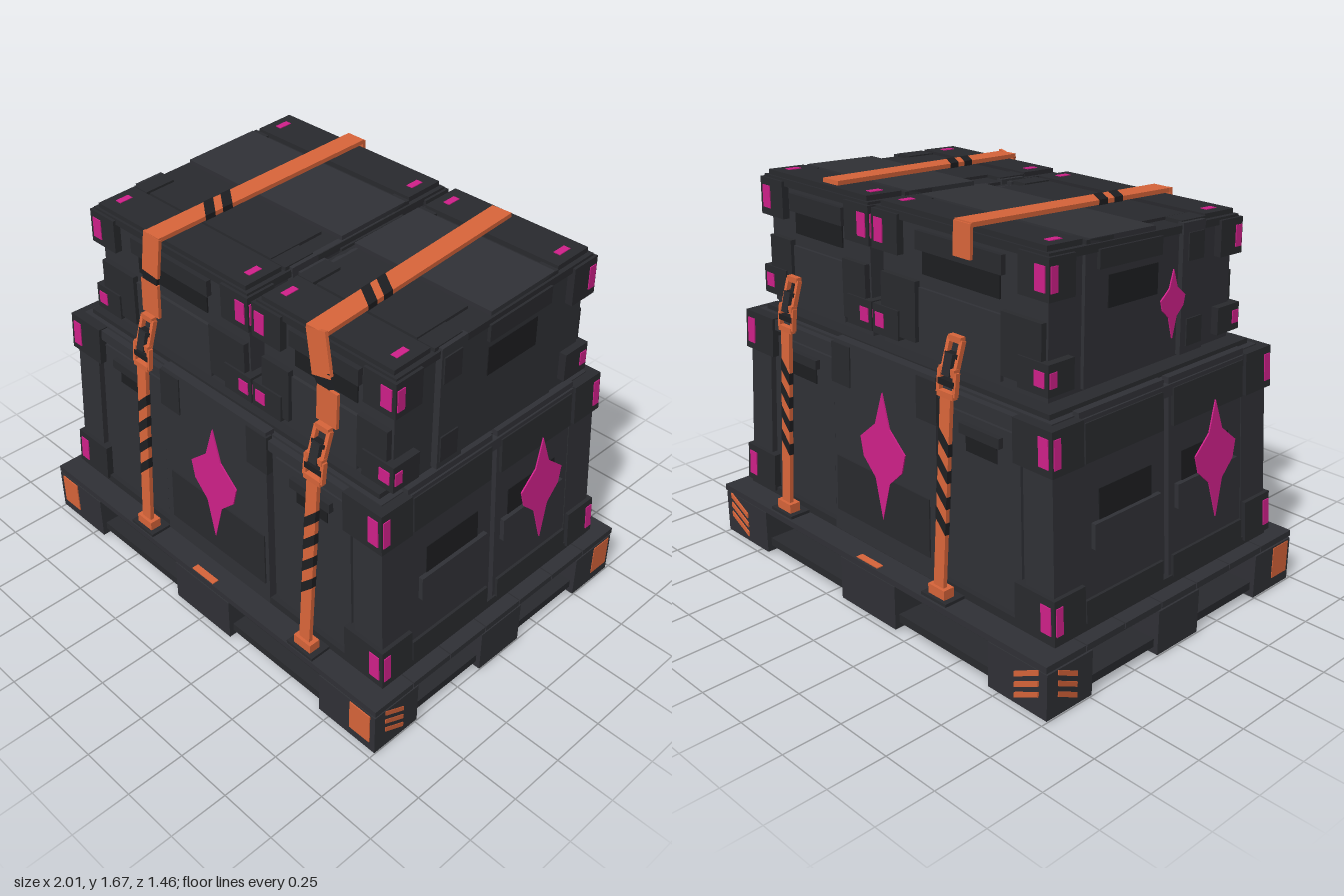
import * as THREE from 'three';

const mat = (name, color) => {
  const m = new THREE.MeshStandardMaterial({ color });
  m.name = name;
  m.flatShading = true;
  return m;
};
const M = {
  shell: mat('charcoal shell', 0x303136),
  plate: mat('dark plate', 0x292a2e),
  recess: mat('black recess', 0x1d1e21),
  orange: mat('orange', 0xd9653a),
  magenta: mat('magenta', 0xd0208a),
};
const V = (x, y, z) => new THREE.Vector3(x, y, z);

function mesh(parent, name, geo, material) {
  const m = new THREE.Mesh(geo, material);
  m.name = name;
  parent.add(m);
  return m;
}

// box given by its min / max on each axis
function block(parent, name, material, [x0, x1], [y0, y1], [z0, z1], rule) {
  const g = new THREE.BoxGeometry(x1 - x0, y1 - y0, z1 - z0);
  g.translate((x0 + x1) / 2, (y0 + y1) / 2, (z0 + z1) / 2);
  if (rule) bend(g, rule);
  return mesh(parent, name, g, material);
}

function bend(g, rule) {
  const p = g.attributes.position, v = V(0, 0, 0);
  for (let i = 0; i < p.count; i++) {
    rule(v.fromBufferAttribute(p, i));
    p.setXYZ(i, v.x, v.y, v.z);
  }
  g.computeVertexNormals();
}

// flat bar from a to b, optionally with slanted ends
function bar(parent, name, material, a, b, w, t = 0.014, slant = 0) {
  const dir = b.clone().sub(a), len = dir.length();
  dir.normalize();
  const side = V(1, 0, 0).addScaledVector(dir, -dir.x).normalize();
  const g = new THREE.BoxGeometry(w, t, len);
  if (slant) bend(g, v => { v.z += v.x * slant; });
  g.applyMatrix4(new THREE.Matrix4().makeBasis(side, dir.clone().cross(side), dir));
  const c = a.clone().add(b).multiplyScalar(0.5);
  g.translate(c.x, c.y, c.z);
  return mesh(parent, name, g, material);
}

// simple kite-shaped paint patch, thin, facing +z
function kite(s) {
  const half = [[0.045, 0.13], [0.14, 0.05], [0.12, -0.03], [0.045, -0.1]];
  const pts = [[0, 0.27], ...half, [0, -0.27], ...half.map(([x, y]) => [-x, y]).reverse()];
  const shape = new THREE.Shape(pts.map(([x, y]) => new THREE.Vector2(x * s, y * s)));
  return new THREE.ExtrudeGeometry(shape, { depth: 0.006, bevelEnabled: false });
}

// tapered crate; parts are placed in straight coordinates and then tapered
function crate(root, name, { cx, cz = 0, y0, h, taperX, taperZ, slope = 0 }) {
  const group = new THREE.Group();
  group.name = name;
  group.position.set(cx, y0, cz);
  root.add(group);
  const rule = v => {
    const t = v.y / h;
    v.y -= slope * v.z * t;
    v.x *= 1 - taperX * t;
    v.z *= 1 - taperZ * t;
  };
  return {
    box: (n, m, x, y, z) => block(group, n, m, x, y, z, rule),
    // painted kite: side turns about y, u runs along the face
    patch(turn, u, y, dist, s) {
      const g = kite(s);
      g.translate(u, y, dist);
      g.rotateY(turn);
      bend(g, rule);
      mesh(group, 'paintedPatch', g, M.magenta);
    },
  };
}

const span = (s, a, b) => (s > 0 ? [a, b] : [-b, -a]);

// corner guards with magenta marks
function corners(c, W, D, levels, gx, gz) {
  for (const sx of [1, -1]) for (const sz of [1, -1]) for (const [a, b] of levels) {
    c.box('cornerGuard', M.plate, span(sx, W - gx, W + 0.012), [a, b], span(sz, D - gz, D + 0.012));
    const y = [a + 0.03, b - 0.03];
    c.box('cornerMarkSide', M.magenta, span(sx, W + 0.01, W + 0.016), y, span(sz, D - 0.03, D + 0.005));
    c.box('cornerMarkFront', M.magenta, span(sx, W - 0.055, W - 0.005), y, span(sz, D + 0.01, D + 0.016));
  }
}

function buildPallet(root) {
  const g = new THREE.Group();
  g.name = 'pallet';
  root.add(g);
  // deck boards on a thin sheet
  block(g, 'deckSheet', M.plate, [-0.99, 0.99], [0.195, 0.215], [-0.72, 0.72]);
  for (let i = 0; i < 7; i++) {
    const z = -0.73 + i * 0.2086;
    block(g, 'deckBoard', M.shell, [-1, 1], [0.205, 0.232], [z, z + 0.203]);
  }
  const xs = [[-1, -0.7], [-0.17, 0.17], [0.7, 1]];
  const zs = [[-0.725, -0.49], [-0.12, 0.12], [0.49, 0.725]];
  for (const x of xs) for (const z of zs) {
    block(g, 'foot', M.shell, x, [0.006, 0.197], z);
    const mx = (x[0] + x[1]) / 2, mz = (z[0] + z[1]) / 2;
    block(g, 'footMark', M.orange, [mx - 0.05, mx + 0.05], [0, 0.007], [mz - 0.025, mz + 0.025]);
  }
  // lower runners both ways
  for (const [a, b] of zs) block(g, 'longRunner', M.plate, [-0.98, 0.98], [0.032, 0.068], [a + 0.02, b - 0.02]);
  for (const [a, b] of xs) block(g, 'crossRunner', M.plate, [a + 0.02, b - 0.02], [0.034, 0.07], [-0.7, 0.7]);
  // orange paint on the corner feet
  for (const s of [1, -1]) {
    block(g, 'frontPaint', M.orange, span(s, 0.87, 0.975), [0.05, 0.19], [0.722, 0.73]);
    block(g, 'sidePaint', M.orange, span(s, 0.997, 1.003), [0.05, 0.19], span(-s, 0.61, 0.71));
    for (let k = 0; k < 3; k++) {
      const y = 0.06 + k * 0.045;
      const slantX = v => { v.y += (Math.abs(v.x) - 0.9) * 0.5; };
      const slantZ = v => { v.y += (Math.abs(v.z) - 0.62) * 0.5; };
      block(g, 'backStripe', M.orange, span(s, 0.84, 0.96), [y, y + 0.022], [-0.731, -0.723], slantX);
      block(g, 'sideStripe', M.orange, span(s, 0.997, 1.003), [y, y + 0.022], span(s, 0.57, 0.67), slantZ);
    }
    block(g, 'deckPaint', M.orange, [-0.06, 0.07], [0.229, 0.236], span(s, 0.69, 0.72));
  }
}

function buildLowerCrate(root) {
  const W = 0.94, D = 0.625, h = 0.845;
  const c = crate(root, 'lowerCrate', { cx: 0, y0: 0.235, h, taperX: 0.055, taperZ: 0.03 });
  c.box('body', M.shell, [-W + 0.03, W - 0.03], [0, h - 0.02], [-D + 0.03, D - 0.03]);
  c.box('baseRim', M.plate, [-W, W], [0, 0.035], [-D, D]);
  c.box('lidRim', M.shell, [-W, W], [h - 0.075, h - 0.03], [-D, D]);
  c.box('lid', M.plate, [-W + 0.06, W - 0.06], [h - 0.04, h], [-D + 0.05, D - 0.05]);
  corners(c, W, D, [[0.02, 0.19], [0.65, 0.82]], 0.19, 0.15);
  for (const s of [1, -1]) {
    const out = (a, b) => span(s, a, b);
    // long faces
    c.box('centrePanel', M.shell, [-0.32, 0.32], [0.005, h], out(D - 0.04, D + 0.004));
    c.box('lowerPlate', M.plate, [-0.28, 0.3], [0.1, 0.345], out(D - 0.02, D + 0.01));
    c.patch(s > 0 ? 0 : Math.PI, 0, 0.43, D + 0.006, 1);
    for (const sx of [1, -1]) {
      c.box('cornerPost', M.shell, span(sx, 0.79, W - 0.005), [0.03, 0.8], out(D - 0.16, D - 0.005));
      c.box('sidePanel', M.shell, span(sx, 0.35, 0.76), [0.04, 0.74], out(D - 0.05, D - 0.018));
      c.box('latchRecess', M.recess, span(sx, 0.47, 0.64), [0.6, 0.67], out(D - 0.03, D - 0.014));
      c.box('latchLip', M.plate, span(sx, 0.45, 0.67), [0.67, 0.71], out(D - 0.03, D + 0.004));
      c.box('panelTab', M.plate, span(sx, 0.21, 0.33), [0.66, 0.83], out(D - 0.02, D + 0.01));
    }
    // short faces, each with two doors
    for (const sz of [1, -1]) {
      c.box('door', M.shell, out(W - 0.04, W - 0.008), [0.02, h - 0.005], span(sz, 0.015, 0.48));
      c.box('doorTop', M.plate, out(W - 0.02, W + 0.006), [0.65, 0.8], span(sz, 0.03, 0.46));
      c.box('doorBottom', M.plate, out(W - 0.02, W + 0.004), [0.03, 0.12], span(sz, 0.03, 0.46));
      c.box('doorRecess', M.recess, out(W - 0.02, W - 0.005), [0.41, 0.53], span(sz, 0.09, 0.38));
      c.box('doorFlap', M.shell, out(W - 0.03, W + 0.012), [0.31, 0.41], span(sz, 0.05, 0.42));
    }
    c.patch(s * Math.PI / 2, 0.27, 0.45, W + 0.014, 0.9);
  }
}

function buildUpperCrate(root, name, x0, x1, outer) {
  const W = (x1 - x0) / 2 - 0.008, D = 0.525, h = 0.54;
  const c = crate(root, name, { cx: (x0 + x1) / 2, cz: 0.015, y0: 1.08, h, taperX: 0.02, taperZ: 0.01, slope: 0.05 });
  c.box('body', M.shell, [-W + 0.02, W - 0.02], [0, h - 0.025], [-D + 0.02, D - 0.02]);
  c.box('lidRim', M.plate, [-W, W], [h - 0.05, h - 0.02], [-D, D]);
  corners(c, W, D, [[0.035, 0.15], [0.36, 0.51]], 0.14, 0.12);
  for (const s of [1, -1]) {
    const out = (a, b) => span(s, a, b);
    // front and back
    c.box('handleRecess', M.recess, [-W * 0.45, W * 0.45], [0.31, 0.4], out(D - 0.03, D - 0.014));
    c.box('handleLip', M.plate, [-W * 0.5, W * 0.5], [0.4, 0.47], out(D - 0.03, D + 0.002));
    for (const sx of [1, -1])
      c.box('facePlate', M.plate, span(sx, W * 0.5, W - 0.03), [0.05, 0.28], out(D - 0.03, D + 0.004));
    c.box('lowerFace', M.shell, [-W * 0.48, W * 0.48], [0.02, 0.26], out(D - 0.03, D - 0.006));
    // ends
    c.box('endPanel', M.shell, out(W - 0.03, W - 0.005), [0.01, h - 0.02], [-0.34, 0.17]);
    c.box('endBar', M.plate, out(W - 0.02, W + 0.01), [0.43, 0.5], [-0.28, 0.06]);
    c.box('endRecess', M.recess, out(W - 0.02, W - 0.001), [0.28, 0.4], [-0.22, 0.05]);
    c.box('endStrip', M.shell, out(W - 0.02, W + 0.008), [0.01, h - 0.01], [0.18, 0.31]);
    for (const y of [0.04, 0.38])
      c.box('stripTab', M.plate, out(W - 0.02, W + 0.014), [y, y + 0.11], [0.21, 0.3]);
    // lid
    c.box('lidEnd', M.plate, [-W + 0.02, W - 0.02], [h - 0.03, h], out(0.34, D - 0.01));
    for (const sx of [1, -1]) {
      c.box('lidMark', M.magenta, span(sx, W - 0.09, W - 0.06), [h - 0.004, h + 0.003], out(0.4, 0.46));
      c.box('lidSide', M.plate, span(sx, W - 0.09, W - 0.01), [h - 0.03, h - 0.005], out(0.19, 0.33));
    }
  }
  c.box('lidCentre', M.shell, [-W + 0.01, W - 0.01], [h - 0.03, h - 0.002], [-0.31, 0.04]);
  c.box('lidInset', M.plate, [-W + 0.1, W - 0.1], [h - 0.03, h - 0.008], [0.06, 0.32]);
  if (outer) c.patch(-Math.PI / 2, 0.12, 0.23, W + 0.012, 0.5);
}

// open rectangular link lying in the strap plane
function buckle(parent, x, a, b, w) {
  for (const s of [1, -1])
    bar(parent, 'buckleSide', M.orange, V(x + s * w / 2, ...a), V(x + s * w / 2, ...b), 0.016, 0.02);
  for (const t of [0, 0.5, 1]) {
    const y = a[0] + (b[0] - a[0]) * t, z = a[1] + (b[1] - a[1]) * t;
    block(parent, 'buckleBar', t === 0.5 ? M.recess : M.orange, [x - w / 2, x + w / 2], [y - 0.012, y + 0.012], [z - 0.012, z + 0.012]);
  }
}

function buildStrap(root, name, x, frontX, topX, backX, backZ, hang) {
  const g = new THREE.Group();
  g.name = name;
  root.add(g);
  // lower runs on the front and back
  for (const s of [1, -1]) {
    const a = V(x, 0.26, 0.685 * s), b = V(x, 1.06, 0.635 * s);
    bar(g, 'lowerStrap', M.orange, a, b, 0.055, 0.018);
    for (const t of [0.34, 0.47, 0.6, 0.73])
      bar(g, 'darkStripe', M.recess, a.clone().lerp(b, t), a.clone().lerp(b, t + 0.06), 0.057, 0.022, 1);
    block(g, 'anchorPlate', M.plate, [x - 0.07, x + 0.07], [0.23, 0.245], span(s, 0.6, 0.72));
    block(g, 'anchorHook', M.orange, [x - 0.045, x + 0.045], [0.24, 0.285], span(s, 0.655, 0.705));
    buckle(g, x, [1.05, 0.635 * s], [1.14, 0.625 * s], 0.085);
    buckle(g, x, [1.13, 0.622 * s], [1.25, 0.585 * s], 0.065);
    bar(g, 'ratchet', M.plate, V(x, 1.12, 0.63 * s), V(x, 1.2, 0.61 * s), 0.04, 0.03);
  }
  // upper runs
  bar(g, 'frontStrap', M.orange, V(x, 1.26, 0.568), V(x, 1.405, 0.563), 0.1);
  bar(g, 'strapJoint', M.recess, V(x, 1.4, 0.562), V(frontX, 1.45, 0.56), 0.085);
  bar(g, 'frontStrapTop', M.orange, V(frontX, 1.44, 0.561), V(topX, 1.61, 0.55), 0.095);
  const a = V(topX, 1.604, 0.555), b = V(backX, 1.63 - 0.05 * backZ, backZ);
  bar(g, 'topStrap', M.orange, a, b, 0.09, 0.018);
  for (const t of [0.24, 0.32])
    bar(g, 'darkStripe', M.recess, a.clone().lerp(b, t), a.clone().lerp(b, t + 0.045), 0.092, 0.022, -0.7);
  if (hang) bar(g, 'backStrap', M.orange, V(backX, 1.66, backZ), V(backX, 1.53, backZ - 0.004), 0.09);
}

export function createModel() {
  const root = new THREE.Group();
  root.name = 'strappedCratesOnPallet';
  buildPallet(root);
  buildLowerCrate(root);
  buildUpperCrate(root, 'upperCrateWide', -0.785, 0.16, true);
  buildUpperCrate(root, 'upperCrateNarrow', 0.175, 0.885, false);
  buildStrap(root, 'strapRight', -0.395, -0.39, -0.375, -0.365, -0.522, true);
  buildStrap(root, 'strapLeft', 0.585, 0.555, 0.515, 0.465, -0.47, false);
  return root;
}
